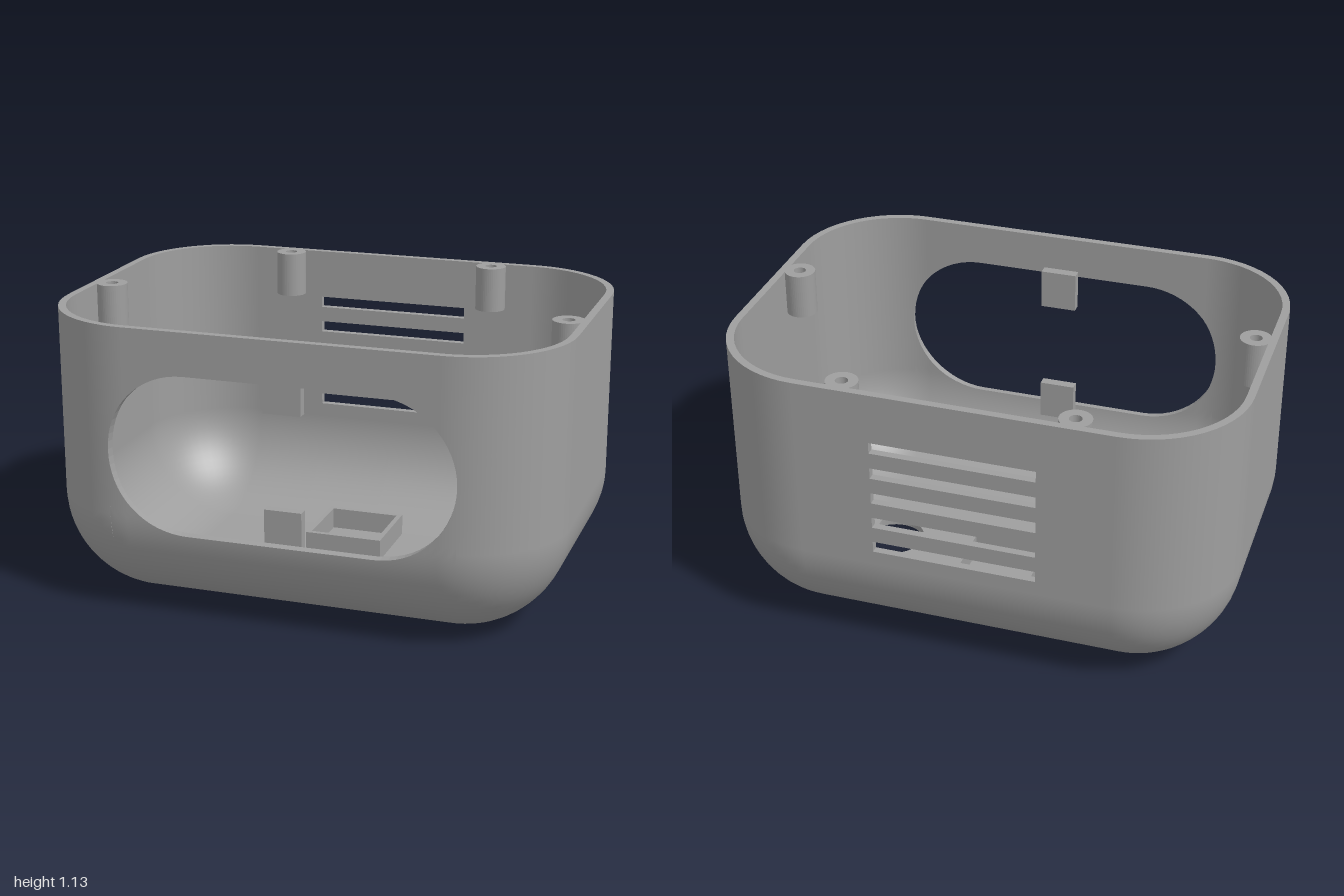
import * as THREE from 'three';

const X = 0.6, Z = 0.325;          // flat core rectangle (half sizes)
const R = 0.4, T = 0.03, H = 1.13; // corner radius, wall thickness, height
const ARC = R * Math.PI / 2;
const HALF = 2 * X + 2 * Z + 2 * ARC; // half of the perimeter
const VB = R - ARC;                // bottom end of the rounded profile

// Point and normal on the rounded tub: u runs round it from front centre, v runs up
function surf(u, v, inset) {
  const sign = u < 0 ? -1 : 1;
  let s = Math.abs(u), x, z, a;
  if (s < X) { x = s; z = Z; a = 0; }
  else if ((s -= X) < ARC) { x = X; z = Z; a = s / R; }
  else if ((s -= ARC) < 2 * Z) { x = X; z = Z - s; a = Math.PI / 2; }
  else if ((s -= 2 * Z) < ARC) { x = X; z = -Z; a = Math.PI / 2 + s / R; }
  else { x = X - (s - ARC); z = -Z; a = Math.PI; }
  const th = v < R ? (R - v) / R : 0, r = R - inset;
  const n = new THREE.Vector3(sign * Math.sin(a) * Math.cos(th), -Math.sin(th), Math.cos(a) * Math.cos(th));
  const p = new THREE.Vector3(sign * x, v < R ? R : v, z).addScaledVector(n, r);
  return { p, n };
}

const range = (a, b, n) => Array.from({ length: n + 1 }, (_, i) => a + (b - a) * i / n);
const join = (...lists) => lists.reduce((o, l) => o.concat(o.length ? l.slice(1) : l), []);
const mirrored = (l) => l.map((u) => -u).reverse();

// Closed piece of wall between the heights lo(u) and hi(u)
function slab(us, lo, hi, steps) {
  const pos = [], nor = [];
  const f = (k) => (typeof k === 'function' ? k : () => k);
  const lof = f(lo), hif = f(hi);
  const grid = (inset) => us.map((u) => range(lof(u), hif(u), steps).map((v) => surf(u, v, inset)));
  const out = grid(0), inn = grid(T);
  const quad = (a, b, c, d, mode) => {
    const flat = c.p.clone().sub(a.p).cross(d.p.clone().sub(b.p)).normalize();
    for (const q of [a, b, c, a, c, d]) {
      pos.push(q.p.x, q.p.y, q.p.z);
      const n = mode ? q.n.clone().multiplyScalar(mode) : flat;
      nor.push(n.x, n.y, n.z);
    }
  };
  const e = us.length - 1;
  for (let i = 0; i < e; i++) {
    for (let j = 0; j < steps; j++) {
      quad(out[i][j], out[i + 1][j], out[i + 1][j + 1], out[i][j + 1], 1);
      quad(inn[i + 1][j], inn[i][j], inn[i][j + 1], inn[i + 1][j + 1], -1);
    }
    quad(out[i][steps], out[i + 1][steps], inn[i + 1][steps], inn[i][steps], 0);
    quad(inn[i][0], inn[i + 1][0], out[i + 1][0], out[i][0], 0);
  }
  for (let j = 0; j < steps; j++) {
    quad(inn[0][j], out[0][j], out[0][j + 1], inn[0][j + 1], 0);
    quad(out[e][j], inn[e][j], inn[e][j + 1], out[e][j + 1], 0);
  }
  const g = new THREE.BufferGeometry();
  g.setAttribute('position', new THREE.Float32BufferAttribute(pos, 3));
  g.setAttribute('normal', new THREE.Float32BufferAttribute(nor, 3));
  return g;
}

// Flat plate from a shape drawn in x and z, with its top at y = top
function plate(shape, depth, top) {
  const g = new THREE.ExtrudeGeometry(shape, { depth, bevelEnabled: false, curveSegments: 24 });
  return g.rotateX(Math.PI / 2).translate(0, top, 0);
}
const circle = (C, x, z, r) => new C().absarc(x, z, r, 0, Math.PI * 2, false);
function rect(C, x, z, w, h) {
  return new C([[-1, -1], [1, -1], [1, 1], [-1, 1]].map(([a, b]) => new THREE.Vector2(x + a * w, z + b * h)));
}

export function createModel() {
  const group = new THREE.Group();
  const grey = new THREE.MeshStandardMaterial({ color: 0x9e9e9e });
  grey.name = 'grey plastic';
  const add = (name, geo, x = 0, y = 0, z = 0) => {
    const m = new THREE.Mesh(geo, grey);
    m.name = name;
    m.position.set(x, y, z);
    group.add(m);
  };

  // Columns round the tub: front opening, sides, slotted back
  const oy = 0.655, or = 0.31, ox = 0.36, slotW = 0.315, split = 0.3;
  const end = range(0, Math.PI / 2, 16).map((t) => ox + or * Math.sin(t));
  const front = join(mirrored(end), [-ox, 0, ox], end);
  const side = join(range(ox + or, X + ARC, 12), range(X + ARC, X + ARC + 2 * Z, 2),
    range(X + ARC + 2 * Z, X + 2 * ARC + 2 * Z, 14), [X + 2 * ARC + 2 * Z, HALF - slotW]);
  const back = [HALF - slotW, HALF];
  const ring = join(mirrored(back), mirrored(side), front, side, back);

  // Rounded base
  add('roundedBase', slab(ring, VB, split, 14));

  // Front wall below and above the long round opening
  const half = (u) => Math.sqrt(Math.max(0, or * or - Math.max(0, Math.abs(u) - ox) ** 2));
  add('frontWallLower', slab(front, split, (u) => oy - half(u), 5));
  add('frontWallUpper', slab(front, (u) => oy + half(u), H, 4));

  // Side walls and the slats between the back vents
  const vents = range(0.476, 0.909, 4), vh = 0.0225;
  const edges = [R, ...vents.flatMap((y) => [y - vh, y + vh]), H];
  for (const flip of [false, true]) {
    const s = flip ? mirrored(side) : side, b = flip ? mirrored(back) : back;
    add('sideWallLower', slab(s, split, R, 3));
    add('sideWall', slab(s, R, H, 2));
    add('backWallLower', slab(b, split, R, 3));
    for (let i = 0; i < edges.length; i += 2) add('ventSlat', slab(b, edges[i], edges[i + 1], 1));
  }

  // Floor with two cable holes and a small centre hole
  const floor = rect(THREE.Shape, 0, 0, X, Z);
  for (const x of [-0.505, 0.505]) floor.holes.push(circle(THREE.Path, x, -0.04, 0.125));
  floor.holes.push(circle(THREE.Path, 0, 0.0 - 0.187, 0.03));
  add('floor', plate(floor, T, T));

  // Square holder on the floor
  const holder = rect(THREE.Shape, 0, -0.187, 0.158, 0.158);
  holder.holes.push(rect(THREE.Path, 0, -0.187, 0.138, 0.138));
  add('squareHolder', plate(holder, 0.09, 0.115));

  // Screw posts with blind holes
  const post = circle(THREE.Shape, 0, 0, 0.061);
  post.holes.push(circle(THREE.Path, 0, 0, 0.024));
  const tube = plate(post, 0.18, H);
  const plug = new THREE.CylinderGeometry(0.026, 0.026, 0.03, 24);
  for (const sx of [-1, 1]) {
    for (const [x, z] of [[0.436, -0.652], [0.919, 0.105]]) {
      add('screwPost', tube, sx * x, 0, z);
      add('screwPostPlug', plug, sx * x, 0.9655, z);
    }
  }

  // Retaining tabs behind the opening
  const tab = new THREE.BoxGeometry(0.145, 0.16, 0.04);
  add('upperTab', tab, 0, 0.92, 0.65);
  add('lowerTab', tab, 0, 0.39, 0.65);
  return group;
}
